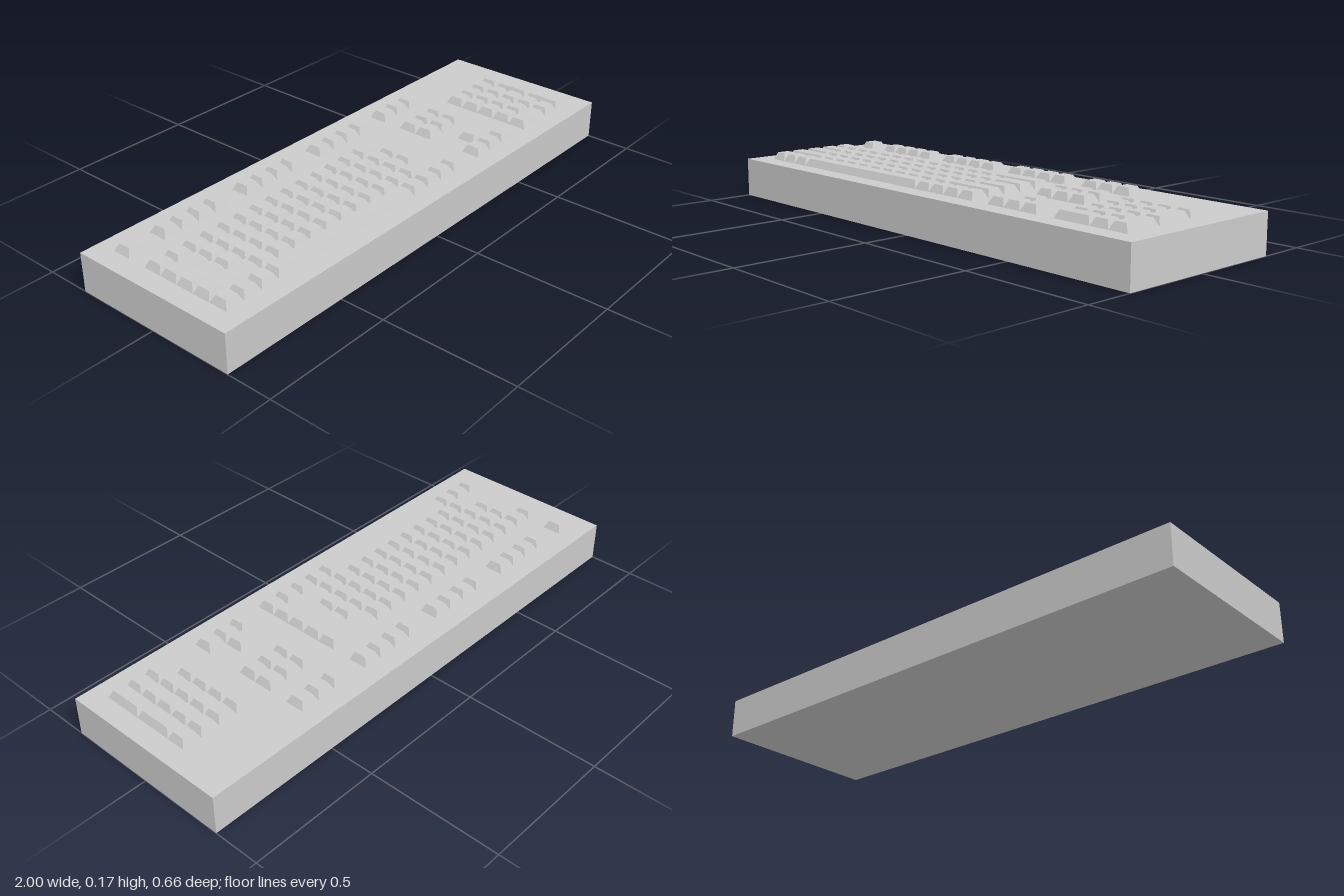
import * as THREE from 'three';

const PITCH_X = 0.0739, PITCH_Z = 0.0728;   // size of one key unit
const LEFT = -0.924, BACK = -0.254;         // corner of the key field
const DECK = 0.147, KEY_H = 0.028, INSET = 0.0137;

const material = new THREE.MeshStandardMaterial({ color: 0xcccccc, flatShading: true });

// Keycap: a box whose top face is drawn in by a constant inset
function keycap(name, col, row, cols = 1, rows = 1) {
  const w = cols * PITCH_X, d = rows * PITCH_Z;
  const geo = new THREE.BoxGeometry(w, KEY_H, d);
  const p = geo.attributes.position;
  for (let i = 0; i < p.count; i++) {
    if (p.getY(i) > 0) {
      p.setX(i, p.getX(i) - Math.sign(p.getX(i)) * INSET);
      p.setZ(i, p.getZ(i) - Math.sign(p.getZ(i)) * INSET);
    }
  }
  geo.computeVertexNormals();
  const mesh = new THREE.Mesh(geo, material);
  mesh.name = name;
  mesh.position.set(LEFT + col * PITCH_X + w / 2, DECK + KEY_H / 2, BACK + row * PITCH_Z + d / 2);
  return mesh;
}

// A run of keys from a starting column, given their widths in units
function keyRow(group, name, col, row, widths) {
  for (const w of widths) {
    group.add(keycap(name, col, row, w));
    col += w;
  }
}

const ones = (n) => Array(n).fill(1);

function section(parent, name) {
  const g = new THREE.Group();
  g.name = name;
  parent.add(g);
  return g;
}

export function createModel() {
  const model = new THREE.Group();
  model.name = 'keyboard';

  // Case
  const base = new THREE.Mesh(new THREE.BoxGeometry(2, DECK, 0.656), material);
  base.name = 'case';
  base.position.y = DECK / 2;
  model.add(base);

  // Top row: escape, three banks of four, one bank of three
  const top = section(model, 'topRowKeys');
  keyRow(top, 'escapeKey', 0, 0, [1]);
  for (const col of [2, 7, 12]) keyRow(top, 'topRowKey', col, 0, ones(4));
  keyRow(top, 'systemKey', 17, 0, ones(3));

  // Main block, 16 units wide
  const main = section(model, 'mainKeys');
  [
    [...ones(13), 3],
    [2, ...ones(12), 2],
    [2, ...ones(12), 2],
    [3, ...ones(10), 3],
    [...ones(3), 9, ...ones(4)],
  ].forEach((widths, i) => keyRow(main, 'mainKey', 0, 2 + i, widths));

  // Navigation block and arrow cluster
  const nav = section(model, 'navigationKeys');
  for (const row of [2, 3]) keyRow(nav, 'navigationKey', 17, row, ones(3));
  keyRow(nav, 'arrowKey', 18, 5, [1]);
  keyRow(nav, 'arrowKey', 17, 6, ones(3));

  // Number pad with two double-height keys
  const pad = section(model, 'numberPad');
  keyRow(pad, 'padKey', 21, 2, ones(4));
  for (const row of [3, 4, 5]) keyRow(pad, 'padKey', 21, row, ones(3));
  keyRow(pad, 'padKey', 21, 6, [2, 1]);
  for (const row of [3, 5]) pad.add(keycap('tallPadKey', 24, row, 1, 2));

  return model;
}
